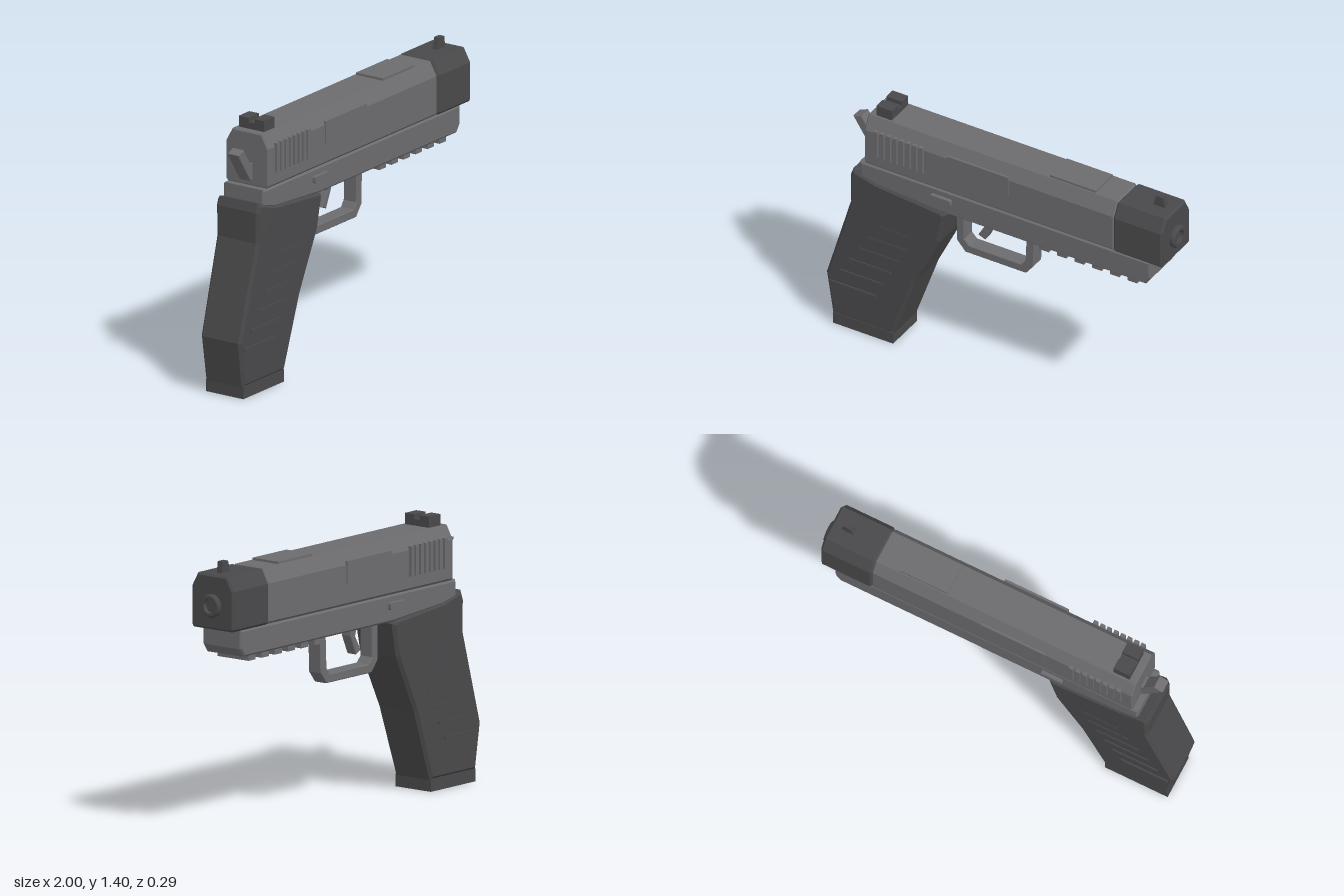
import * as THREE from 'three';

const lightGrey = new THREE.MeshStandardMaterial({ color: 0x6c6c6f });
lightGrey.name = 'light grey';
const darkGrey = new THREE.MeshStandardMaterial({ color: 0x49494b });
darkGrey.name = 'dark grey';

export function createModel() {
  const model = new THREE.Group();
  model.name = 'pistol';

  const add = (name, geometry, material) => {
    const mesh = new THREE.Mesh(geometry, material);
    mesh.name = name;
    model.add(mesh);
    return mesh;
  };

  // Box given by its limits on each axis
  const box = (name, material, [x0, x1], [y0, y1], [z0, z1]) => {
    const mesh = add(name, new THREE.BoxGeometry(x1 - x0, y1 - y0, z1 - z0), material);
    mesh.position.set((x0 + x1) / 2, (y0 + y1) / 2, (z0 + z1) / 2);
    return mesh;
  };

  // Outline extruded to a total depth, centred, with the bevel kept inside the outline
  const extrude = (points, depth, bevel = 0, holes = []) => {
    const shape = new THREE.Shape(points.map(([x, y]) => new THREE.Vector2(x, y)));
    for (const hole of holes) shape.holes.push(new THREE.Path(hole.map(([x, y]) => new THREE.Vector2(x, y))));
    const geometry = new THREE.ExtrudeGeometry(shape, {
      depth: depth - 2 * bevel, bevelEnabled: bevel > 0, bevelThickness: bevel,
      bevelSize: bevel, bevelOffset: -bevel, bevelSegments: 1,
    });
    return geometry.translate(0, 0, bevel - depth / 2);
  };

  // Cross-section with chamfered top edges, run along x
  const section = (half, x0, x1, bevel) => {
    const points = [
      [-half + 0.012, 1.057], [half - 0.012, 1.057], [half, 1.07], [half, 1.265],
      [half - 0.04, 1.338], [-half + 0.04, 1.338], [-half, 1.265], [-half, 1.07],
    ];
    return extrude(points, x1 - x0, bevel).rotateY(Math.PI / 2).translate((x0 + x1) / 2, 0, 0);
  };

  // Slide, muzzle block and barrel
  add('slide', section(0.13, -0.77, 0.69, 0.006), lightGrey);
  add('muzzleBlock', section(0.136, 0.69, 0.975, 0.01), darkGrey);
  const ring = [[0, 0], [0.06, 0], [0.06, 0.04], [0.052, 0.05], [0.037, 0.05], [0.037, 0.022], [0, 0.022]];
  const barrel = add('barrelTip', new THREE.LatheGeometry(ring.map(([r, y]) => new THREE.Vector2(r, y)), 32)
    .toNonIndexed(), darkGrey);
  barrel.geometry.computeVertexNormals();
  barrel.rotation.z = -Math.PI / 2;
  barrel.position.set(0.95, 1.18, 0);

  // Frame under the slide
  add('frame', extrude([
    [-0.8, 0.97], [-0.7, 0.945], [-0.31, 0.917], [0.87, 0.917], [0.9, 0.96], [0.9, 1.057], [-0.8, 1.057],
  ], 0.25, 0.01), lightGrey);

  // Accessory rail teeth
  for (let i = 0; i < 6; i++) {
    const x = 0.235 + i * 0.1035;
    box('railTooth', lightGrey, [x, x + 0.056], [0.885, 0.93], [-0.1, 0.1]);
  }

  // Trigger guard and trigger
  add('triggerGuard', extrude([
    [-0.285, 0.93], [-0.285, 0.715], [-0.235, 0.657], [0.12, 0.657], [0.165, 0.715], [0.172, 0.93],
  ], 0.08, 0.004, [[
    [-0.24, 0.92], [0.125, 0.92], [0.118, 0.735], [0.095, 0.703], [-0.21, 0.703], [-0.24, 0.735],
  ]]), lightGrey);
  add('trigger', extrude([
    [-0.14, 0.93], [-0.12, 0.86], [-0.165, 0.782], [-0.125, 0.765], [-0.08, 0.865], [-0.085, 0.93],
  ], 0.06, 0.004), lightGrey);

  // Hammer
  add('hammer', extrude([
    [-0.893, 1.247], [-0.84, 1.165], [-0.785, 1.085], [-0.75, 1.085], [-0.75, 1.175], [-0.785, 1.18], [-0.845, 1.265],
  ], 0.07, 0.004), lightGrey);

  // Grip, narrowing toward the bottom
  const grip = extrude([
    [-0.84, 0.997], [-0.857, 0.95], [-0.855, 0.79], [-1.0, 0.3], [-0.965, 0.06], [-0.608, 0.06],
    [-0.48, 0.43], [-0.335, 0.73], [-0.298, 0.905], [-0.32, 0.922], [-0.7, 0.957],
  ], 0.264, 0.016);
  const p = grip.attributes.position;
  for (let i = 0; i < p.count; i++) p.setZ(i, p.getZ(i) * (0.91 + 0.09 * Math.min(1, p.getY(i) / 0.9)));
  grip.computeVertexNormals();
  add('grip', grip, darkGrey);
  box('magazineBase', darkGrey, [-0.962, -0.61], [0, 0.065], [-0.115, 0.115]);

  // Details mirrored on both sides
  for (const side of [-1, 1]) {
    const z = (a, b) => (side > 0 ? [a, b] : [-b, -a]);
    for (let i = 0; i < 8; i++) {
      const x = -0.71 + i * 0.038;
      box('slideSerration', lightGrey, [x, x + 0.024], [1.13, 1.285], z(0.125, 0.144));
    }
    box('slidePanel', lightGrey, [-0.28, 0.075], [1.17, 1.285], z(0.125, 0.137));
    add('slideCatch', extrude([
      [-0.375, 0.984], [-0.265, 0.984], [-0.26, 0.99], [-0.26, 1.014], [-0.265, 1.02],
      [-0.375, 1.02], [-0.38, 1.014], [-0.38, 0.99],
    ], 0.025), lightGrey).position.z = side * 0.133;
    for (let i = 0; i < 6; i++) {
      const x = -0.97 + i * 0.056;
      box('gripRib', darkGrey, [x, x + 0.265 - i * 0.01], [0.252 + i * 0.087, 0.269 + i * 0.087], z(0.11, 0.131));
    }
  }

  // Top plate and sights
  box('topPlate', lightGrey, [0.288, 0.556], [1.33, 1.35], [-0.083, 0.083]);
  box('rearSightBase', darkGrey, [-0.73, -0.64], [1.33, 1.372], [-0.078, 0.078]);
  for (const side of [-1, 1]) {
    box('rearSightPost', darkGrey, [-0.73, -0.64], [1.36, 1.395], side > 0 ? [0.018, 0.078] : [-0.078, -0.018]);
  }
  add('frontSight', extrude([[0.85, 1.33], [0.92, 1.33], [0.91, 1.396], [0.868, 1.396]], 0.032), darkGrey);

  return model;
}
